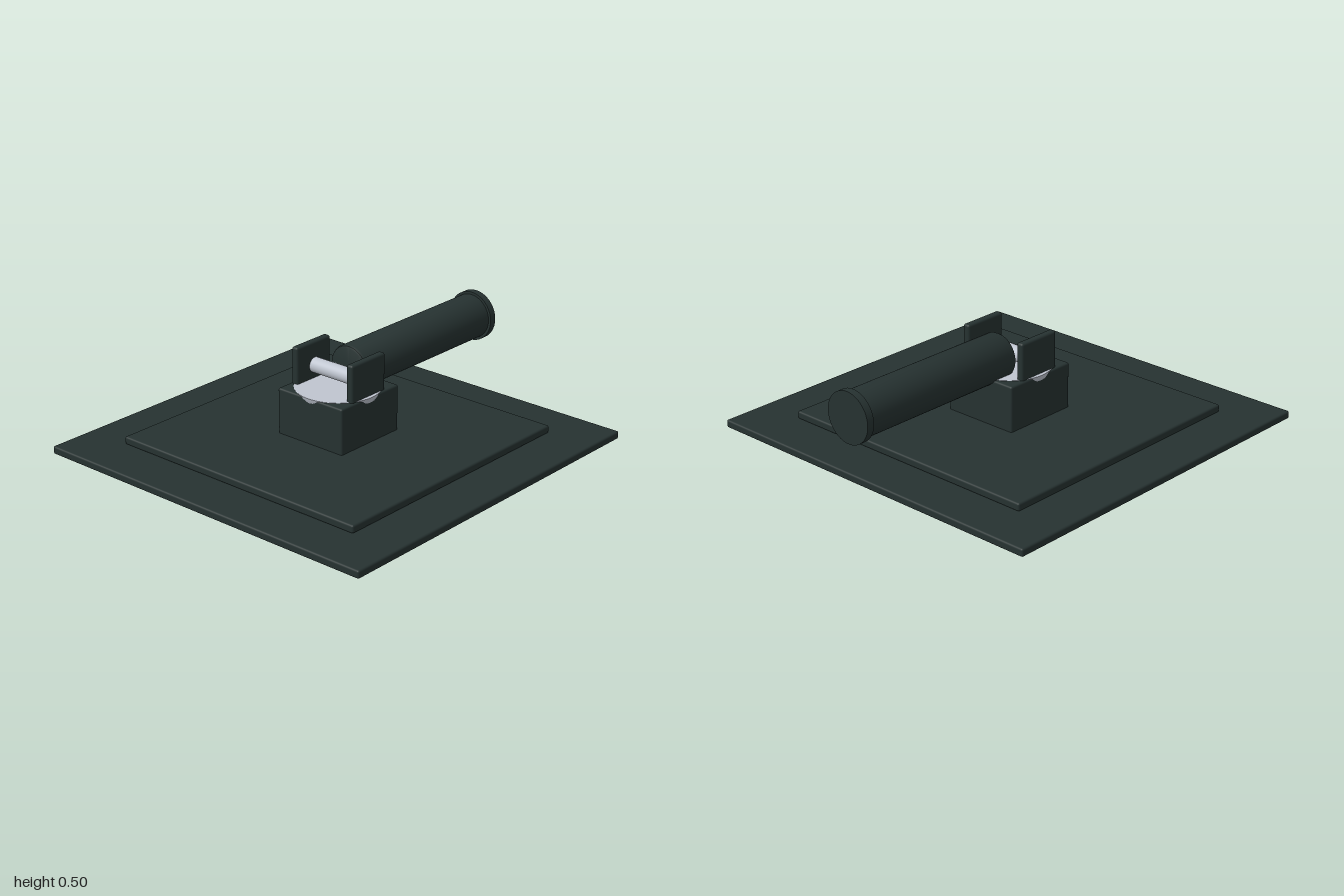
import * as THREE from 'three';
import { RoundedBoxGeometry } from 'three/addons/geometries/RoundedBoxGeometry.js';
import { toCreasedNormals } from 'three/addons/utils/BufferGeometryUtils.js';

export function createModel() {
  const model = new THREE.Group();
  const dark = new THREE.MeshStandardMaterial({ name: 'dark green grey', color: 0x263231 });
  const silver = new THREE.MeshStandardMaterial({ name: 'silver', color: 0xbfc5d0 });
  const midZ = 0.045;

  const add = (name, geometry, material, x, y, z) => {
    const mesh = new THREE.Mesh(geometry, material);
    mesh.name = name;
    mesh.position.set(x, y, z);
    model.add(mesh);
    return mesh;
  };
  // Box with softened edges, placed by its lower and upper y
  const slab = (name, w, y0, y1, d, x, z, r) =>
    add(name, new RoundedBoxGeometry(w, y1 - y0, d, 3, r), dark, x, (y0 + y1) / 2, z);
  // Solid of revolution from [radius, height] pairs, lowest first
  const turned = (points) => toCreasedNormals(
    new THREE.LatheGeometry(points.map(([r, h]) => new THREE.Vector2(r, h)), 64), 0.6);

  // Stepped square base and hinge block
  slab('basePlate', 1.91, 0, 0.04, 1.91, 0, midZ, 0.01);
  slab('upperPlate', 1.43, 0.04, 0.08, 1.43, 0, midZ, 0.01);
  slab('hingeBlock', 0.4, 0.07, 0.31, 0.405, 0, midZ, 0.01);

  // Shallow dish let into the block, bulging slightly past its sides
  add('swivelDisc', turned([[0, 0.25], [0.18, 0.25], [0.202, 0.285], [0.21, 0.312], [0, 0.312]]),
    silver, 0, 0, midZ);

  // Hinge ears and the pin between them
  for (const side of [-1, 1]) {
    slab(side > 0 ? 'leftEar' : 'rightEar', 0.038, 0.3, 0.496, 0.235, side * 0.171, midZ, 0.012);
  }
  const pin = add('hingePin', new THREE.CylinderGeometry(0.038, 0.038, 0.32, 32), silver, 0, 0.378, 0.04);
  pin.rotation.z = Math.PI / 2;

  // Handle running backwards, with a wider end cap
  const handle = add('handle', turned([
    [0, 0], [0.1, 0], [0.109, 0.004], [0.114, 0.014], [0.114, 0.97], [0, 0.97],
  ]), dark, 0, 0.378, -0.028);
  handle.rotation.x = -Math.PI / 2;
  const cap = add('handleEndCap', new THREE.CylinderGeometry(0.127, 0.127, 0.038, 64), dark, 0, 0.378, -0.981);
  cap.rotation.x = Math.PI / 2;

  return model;
}
